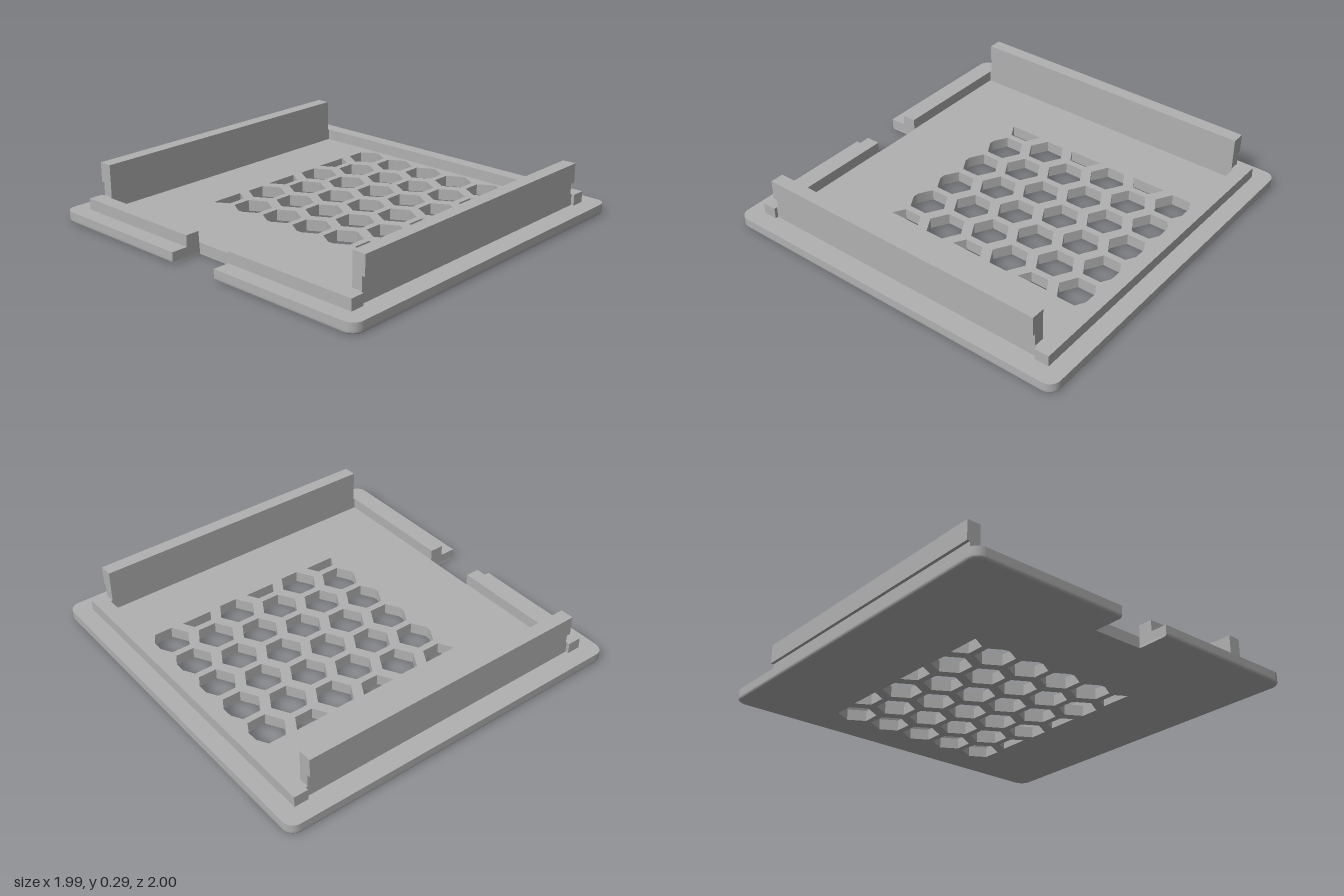
import * as THREE from 'three';
import { toCreasedNormals } from 'three/addons/utils/BufferGeometryUtils.js';

const grey = new THREE.MeshStandardMaterial({ color: 0xb0b0b0 });
grey.name = 'grey plastic';

const W = 0.995, D = 1, R = 0.06;            // plate half width, half depth, corner radius
const THICK = 0.06, RIM_TOP = 0.12;
const NOTCH = { x: -0.825, back: -0.149, front: 0.141 };

// Box given by its limits on each axis
function block(name, x0, x1, y0, y1, z0, z1) {
  const mesh = new THREE.Mesh(new THREE.BoxGeometry(x1 - x0, y1 - y0, z1 - z0), grey);
  mesh.position.set((x0 + x1) / 2, (y0 + y1) / 2, (z0 + z1) / 2);
  mesh.name = name;
  return mesh;
}

// Keep the part of a polygon where p[axis] * sign <= limit * sign
function clip(points, axis, limit, sign) {
  const out = [];
  points.forEach((a, i) => {
    const b = points[(i + 1) % points.length];
    const da = (a[axis] - limit) * sign, db = (b[axis] - limit) * sign;
    if (da <= 0) out.push(a);
    if (da * db < 0) out.push(a.clone().lerp(b, da / (da - db)));
  });
  return out;
}

// Honeycomb holes, trimmed to the vent area (shape y is -z)
function ventHoles() {
  const holes = [];
  for (let col = 0; col < 6; col++) {
    const odd = col % 2 === 0;
    const cx = -0.308 + col * 0.203;
    const rows = odd ? 6 : 5;
    for (let row = 0; row < rows; row++) {
      const cy = (row - (rows - 1) / 2) * 0.211;
      let pts = [];
      for (let k = 0; k < 6; k++) {
        const a = -k * Math.PI / 3;
        pts.push(new THREE.Vector2(cx + 0.101 * Math.cos(a), cy + 0.101 * Math.sin(a)));
      }
      pts = clip(pts, 'x', -0.4, -1);
      if (odd) pts = clip(clip(pts, 'y', 0.516, 1), 'y', -0.502, -1);
      holes.push(new THREE.Path(pts));
    }
  }
  return holes;
}

// Base plate with rounded corners, cable notch, vent and rounded lower edge
function basePlate() {
  const s = new THREE.Shape();
  s.moveTo(-W + R, -D);
  s.absarc(W - R, -D + R, R, -Math.PI / 2, 0);
  s.absarc(W - R, D - R, R, 0, Math.PI / 2);
  s.absarc(-W + R, D - R, R, Math.PI / 2, Math.PI);
  s.lineTo(-W, -NOTCH.back);
  s.lineTo(NOTCH.x, -NOTCH.back);
  s.lineTo(NOTCH.x, -NOTCH.front);
  s.lineTo(-W, -NOTCH.front);
  s.absarc(-W + R, -D + R, R, Math.PI, Math.PI * 1.5);
  s.holes.push(...ventHoles());
  const geo = new THREE.ExtrudeGeometry(s, { depth: THICK, steps: 12, bevelEnabled: false, curveSegments: 8 });
  geo.rotateX(-Math.PI / 2);

  // Draw the lowest rings of the outline inwards along a quarter circle
  const p = geo.attributes.position, r = 0.015;
  for (let i = 0; i < p.count; i++) {
    const x = p.getX(i), y = p.getY(i), z = p.getZ(i);
    if (y < r && Math.max(Math.abs(x), Math.abs(z)) > 0.9) {
      const k = 1 - (r - Math.sqrt(Math.max(0, r * r - (r - y) ** 2)));
      p.setX(i, x * k);
      p.setZ(i, z * k);
    }
  }
  geo.deleteAttribute('normal');
  geo.deleteAttribute('uv');
  const mesh = new THREE.Mesh(toCreasedNormals(geo, 0.6), grey);
  mesh.name = 'basePlate';
  return mesh;
}

export function createModel() {
  const model = new THREE.Group();
  model.name = 'ventedCover';
  model.add(basePlate());

  // Low rims along the sides; the one at -x is split by the notch
  model.add(block('rightRimBack', -0.905, -0.828, THICK, RIM_TOP, -0.905, NOTCH.back));
  model.add(block('rightRimFront', -0.905, -0.828, THICK, RIM_TOP, NOTCH.front, 0.905));
  model.add(block('leftRim', 0.825, 0.902, THICK, RIM_TOP, -0.905, 0.905));

  // Tall clip walls at front and back: recessed web, foot and overhanging lip
  for (const side of [1, -1]) {
    const wall = new THREE.Group();
    wall.name = side > 0 ? 'frontWall' : 'backWall';
    const part = (name, x0, x1, y0, y1, inner, outer) => wall.add(block(name, x0, x1, y0, y1,
      Math.min(side * inner, side * outer), Math.max(side * inner, side * outer)));
    part('wallFoot', -0.828, 0.825, THICK, RIM_TOP, 0.832, 0.888);
    part('wallWeb', -0.82, 0.815, RIM_TOP, 0.19, 0.832, 0.888);
    part('wallLip', -0.82, 0.815, 0.19, 0.295, 0.832, 0.905);
    model.add(wall);
  }
  return model;
}
